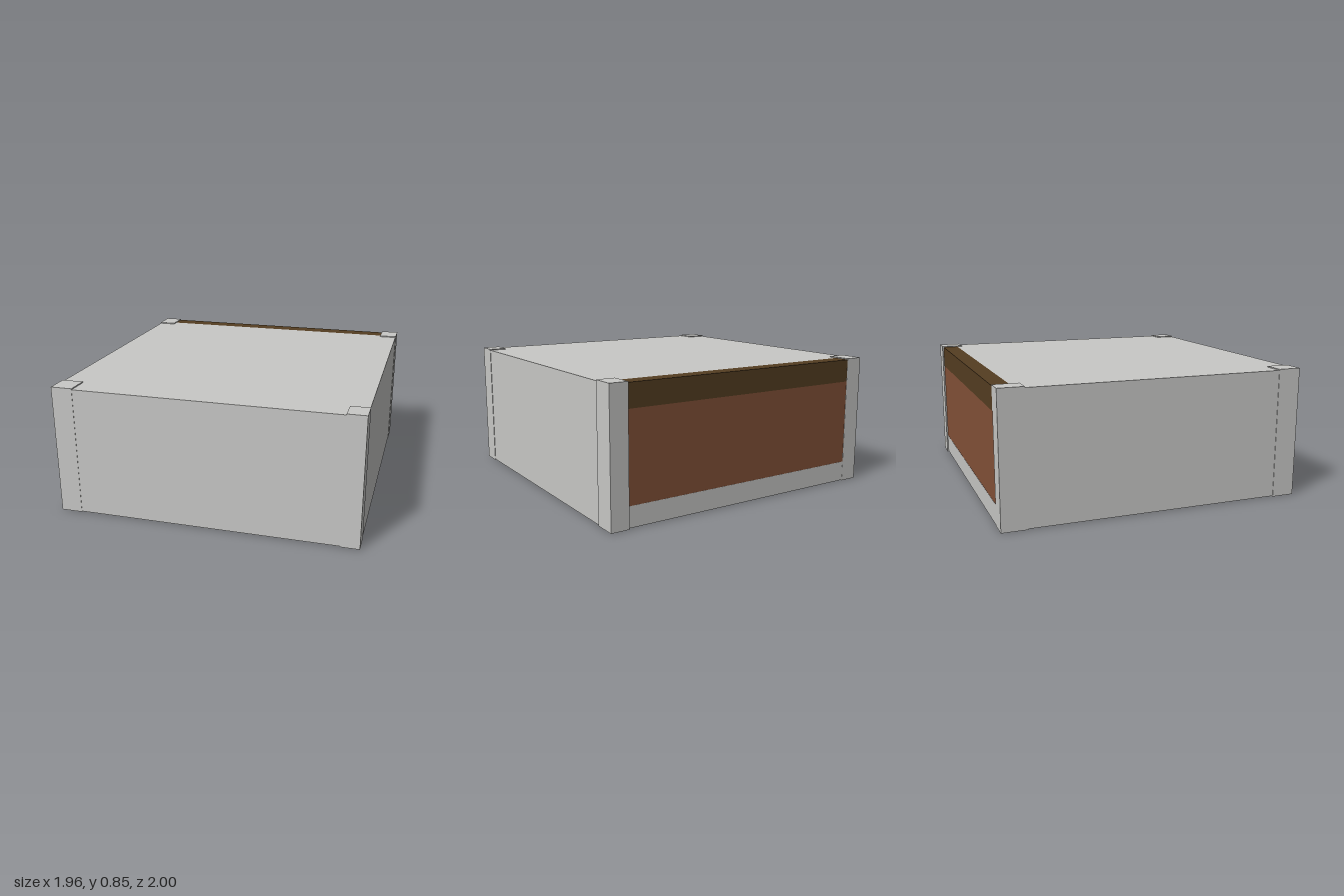
import * as THREE from 'three';

export function createModel() {
  const model = new THREE.Group();
  model.name = 'garage';

  const mat = (name, color) => {
    const m = new THREE.MeshStandardMaterial({ color });
    m.name = name;
    return m;
  };
  const concrete = mat('light grey concrete', 0xc8c8c6);
  const darkWood = mat('dark brown wood', 0x553e22);
  const door = mat('reddish brown door', 0x845138);

  // Box given by its limits, sheared a little so the plan is slightly skewed
  const SKEW = 0.0095;
  function block(name, material, [x0, x1], [y0, y1], [z0, z1]) {
    const g = new THREE.BoxGeometry(x1 - x0, y1 - y0, z1 - z0);
    g.translate((x0 + x1) / 2, (y0 + y1) / 2, (z0 + z1) / 2);
    const p = g.attributes.position;
    for (let i = 0; i < p.count; i++) p.setZ(i, p.getZ(i) - SKEW * p.getX(i));
    g.computeVertexNormals();
    const mesh = new THREE.Mesh(g, material);
    mesh.name = name;
    model.add(mesh);
  }

  // Main walls and flat roof
  block('body', concrete, [-0.975, 0.975], [0.004, 0.843], [-0.875, 0.988]);

  // Back opening: sill, door panel and lintel beam between the posts
  const opening = [-0.86, 0.86];
  block('sill', concrete, opening, [0.004, 0.135], [-0.981, -0.875]);
  block('doorPanel', door, opening, [0.135, 0.695], [-0.98, -0.875]);
  block('lintelBeam', darkWood, opening, [0.695, 0.843], [-0.981, -0.875]);

  // Corner posts, standing slightly proud of the walls
  const height = [0, 0.85];
  block('frontPostRight', concrete, [-0.978, -0.838], height, [0.84, 0.99]);
  block('frontPostLeft', concrete, [0.858, 0.978], height, [0.85, 0.99]);
  block('backPostRight', concrete, [-0.978, -0.858], height, [-0.982, -0.82]);
  block('backPostLeft', concrete, [0.858, 0.978], height, [-0.99, -0.84]);

  return model;
}
